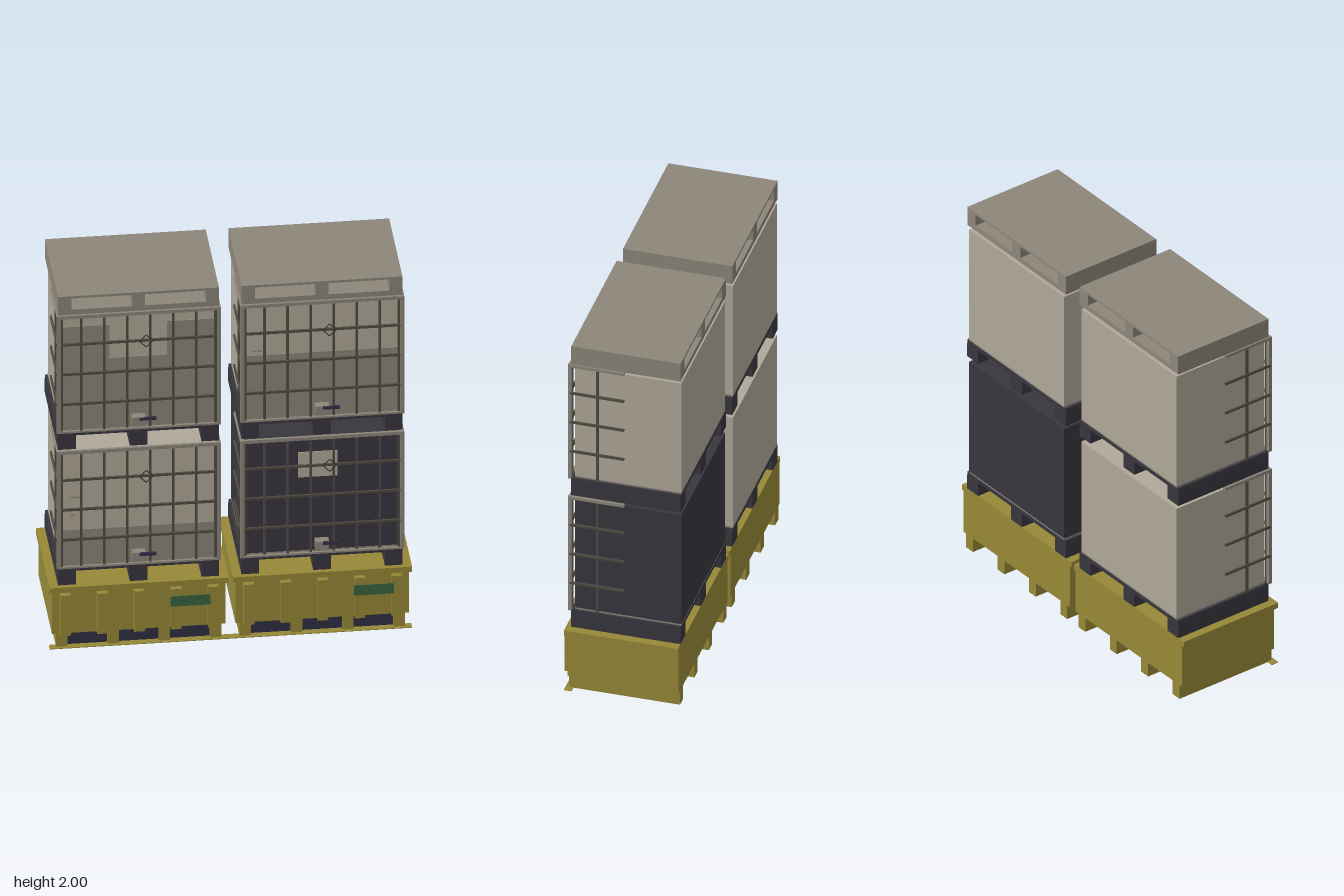
import * as THREE from 'three';

const mat = (name, color) => {
  const m = new THREE.MeshStandardMaterial({ color });
  m.name = name;
  return m;
};

export function createModel() {
  const yellow = mat('yellow plastic', 0x978937);
  const taupe = mat('taupe', 0x8d867a);
  const pale = mat('pale tank', 0xb0a899);
  const dark = mat('charcoal', 0x38363e);
  const navy = mat('navy', 0x2f2e42);
  const green = mat('green label', 0x38633c);
  const steel = mat('cage steel', 0x4e4b40);

  const model = new THREE.Group();
  model.name = 'stackedTanks';

  // Box given by its lower and upper limits on each axis
  const box = (parent, name, m, x0, x1, y0, y1, z0, z1) => {
    const mesh = new THREE.Mesh(new THREE.BoxGeometry(x1 - x0, y1 - y0, z1 - z0), m);
    mesh.position.set((x0 + x1) / 2, (y0 + y1) / 2, (z0 + z1) / 2);
    mesh.name = name;
    parent.add(mesh);
    return mesh;
  };
  const group = (parent, name, x, y) => {
    const g = new THREE.Group();
    g.name = name;
    g.position.set(x, y, 0);
    parent.add(g);
    return g;
  };

  // Spill tray with rim, ribs, skids and label
  function tray(x) {
    const g = group(model, 'spillTray', x, 0);
    box(g, 'trayBody', yellow, -0.43, 0.43, 0.08, 0.325, -0.3, 0.27);
    box(g, 'trayRim', yellow, -0.443, 0.443, 0.32, 0.35, -0.3, 0.285);
    for (let i = -2; i <= 2; i++) {
      const c = i * 0.183;
      box(g, 'trayRib', yellow, c - 0.026, c + 0.026, 0.08, 0.31, 0.27, 0.297);
    }
    for (const c of [-0.381, -0.127, 0.127, 0.381]) {
      box(g, 'traySkid', yellow, c - 0.028, c + 0.028, 0, 0.08, -0.3, 0.268);
    }
    box(g, 'kickPlate', navy, -0.405, 0.405, 0.003, 0.08, 0.24, 0.248);
    box(g, 'trayLabel', green, 0.153, 0.352, 0.213, 0.27, 0.296, 0.3);
  }

  // Pallet with three full-depth skids; its base is at y = 0
  function pallet(parent) {
    const g = group(parent, 'pallet', 0, 0);
    for (const c of [-0.355, 0, 0.355]) {
      box(g, 'palletSkid', dark, c - 0.044, c + 0.044, 0, 0.08, -0.3, 0.26);
    }
    box(g, 'palletDeck', dark, -0.398, 0.398, 0.078, 0.1, -0.3, 0.26);
  }

  // Bar cage over the front and the front half of the sides
  function cage(parent) {
    const g = group(parent, 'cage', 0, 0);
    for (const u of [0.057, 0.171, 0.285, 0.38]) {
      for (const s of [-1, 1]) {
        box(g, 'frontUpright', steel, s * u - 0.006, s * u + 0.006, 0.1, 0.76, 0.256, 0.266);
      }
    }
    for (const y of [0.262, 0.433, 0.603]) {
      box(g, 'frontRail', steel, -0.4, 0.4, y - 0.006, y + 0.006, 0.262, 0.272);
      for (const s of [-1, 1]) {
        box(g, 'sideRail', steel, s * 0.403 - 0.005, s * 0.403 + 0.005, y - 0.006, y + 0.006, -0.012, 0.266);
      }
    }
    box(g, 'topRail', taupe, -0.4, 0.4, 0.752, 0.77, 0.258, 0.273);
    box(g, 'bottomRail', taupe, -0.4, 0.4, 0.098, 0.108, 0.258, 0.272);
    for (const s of [-1, 1]) {
      const x = s * 0.396;
      box(g, 'cornerPost', taupe, x - 0.01, x + 0.01, 0.1, 0.77, 0.257, 0.275);
      box(g, 'topSideRail', taupe, x - 0.01, x + 0.01, 0.754, 0.77, -0.012, 0.26);
      box(g, 'sideUpright', steel, x - 0.005, x + 0.005, 0.1, 0.756, 0.12, 0.132);
    }
  }

  // Caged tank on a pallet, with outlet valve and diamond plate outline
  function tote(x, y, tankMat) {
    const g = group(model, 'tote', x, y);
    pallet(g);
    box(g, 'tankBase', taupe, -0.385, 0.385, 0.1, 0.108, -0.3, 0.245);
    box(g, 'tank', tankMat, -0.384, 0.384, 0.108, 0.75, -0.3, 0.244);
    cage(g);
    box(g, 'valve', taupe, -0.035, 0.032, 0.125, 0.176, 0.245, 0.29);
    box(g, 'valveHandle', navy, 0.0, 0.085, 0.162, 0.176, 0.285, 0.298);
    const diamond = new THREE.Mesh(new THREE.TorusGeometry(0.034, 0.004, 4, 4), dark);
    diamond.name = 'diamondOutline';
    diamond.position.set(0.036, 0.603, 0.275);
    g.add(diamond);
    return g;
  }

  // Thin painted panel on the tank front
  const panel = (g, name, m, x0, x1, y0, y1) =>
    box(g, name, m, x0, x1, y0, y1, 0.244, 0.248);

  // Top cover: a rectangular tube with two fork openings
  function cover(x) {
    const s = new THREE.Shape([[-0.398, 0], [0.398, 0], [0.398, 0.105], [-0.398, 0.105]]
      .map(p => new THREE.Vector2(...p)));
    for (const a of [-0.333, 0.032]) {
      s.holes.push(new THREE.Path([[a, 0.028], [a, 0.092], [a + 0.301, 0.092], [a + 0.301, 0.028]]
        .map(p => new THREE.Vector2(...p))));
    }
    const mesh = new THREE.Mesh(new THREE.ExtrudeGeometry(s, { depth: 0.56, bevelEnabled: false }), taupe);
    mesh.name = 'topCover';
    mesh.position.set(x, 1.895, -0.3);
    model.add(mesh);
  }

  const X = 0.454;
  for (const x of [-X, X]) {
    tray(x);
    cover(x);
  }
  box(model, 'floorStrip', yellow, -0.897, 0.897, 0, 0.004, 0.245, 0.284);

  // Lower row
  const lowerRight = tote(-X, 0.35, pale);
  panel(lowerRight, 'fillLevel', taupe, -0.375, 0.375, 0.11, 0.305);
  panel(lowerRight, 'levelMark', taupe, -0.335, -0.29, 0.487, 0.495);
  panel(lowerRight, 'levelMark', taupe, -0.335, -0.315, 0.385, 0.393);
  const lowerLeft = tote(X, 0.35, dark);
  panel(lowerLeft, 'tankLabel', pale, -0.118, 0.078, 0.527, 0.67);

  // Upper row
  const upperRight = tote(-X, 1.125, pale);
  panel(upperRight, 'fillLevel', taupe, -0.375, 0.375, 0.11, 0.502);
  panel(upperRight, 'fillSide', taupe, -0.375, -0.142, 0.502, 0.692);
  panel(upperRight, 'fillSide', taupe, 0.142, 0.375, 0.502, 0.692);
  const upperLeft = tote(X, 1.125, pale);
  panel(upperLeft, 'fillLevel', taupe, -0.375, 0.375, 0.11, 0.465);
  panel(upperLeft, 'levelMark', taupe, -0.34, -0.295, 0.487, 0.495);

  return model;
}
